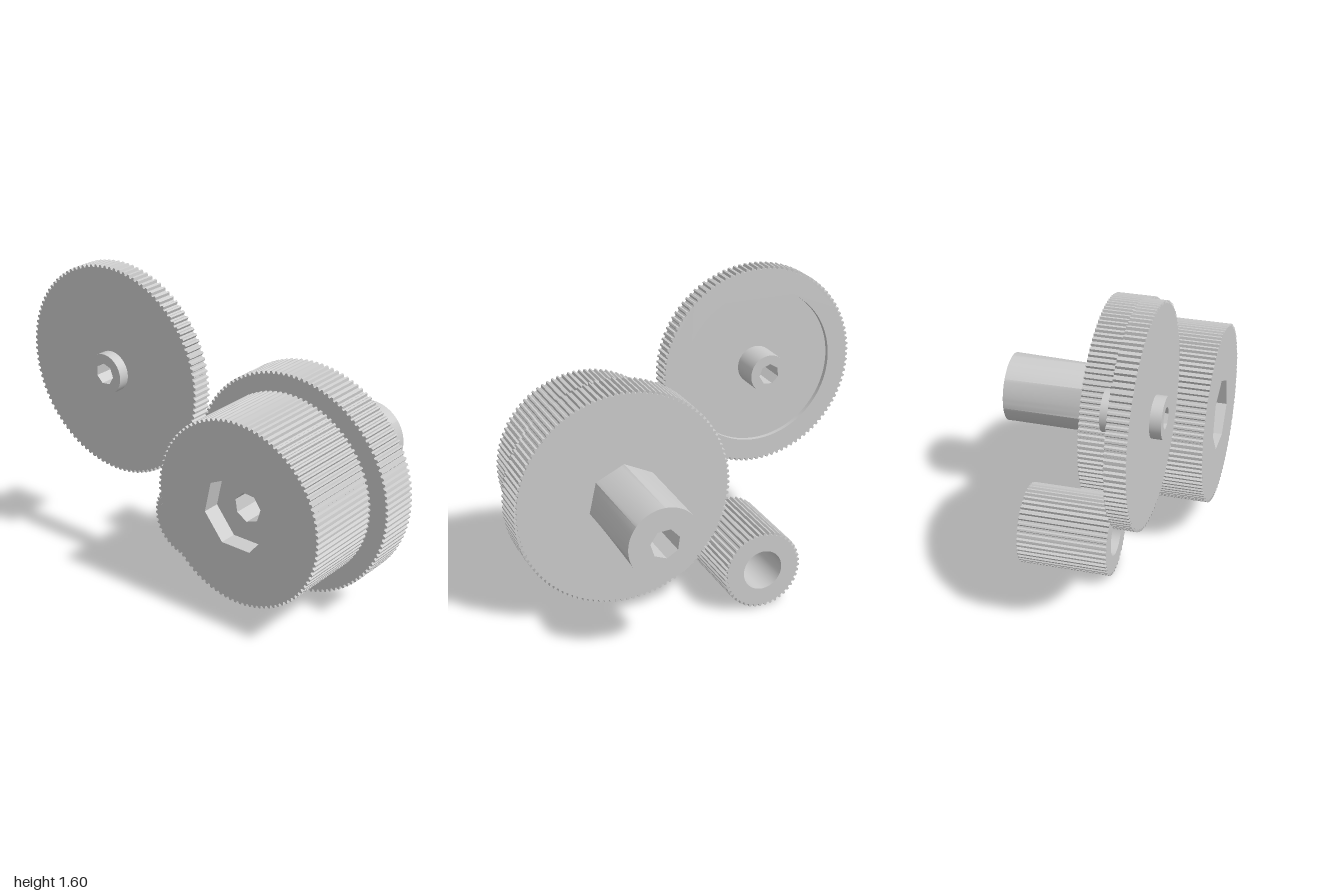
import * as THREE from 'three';
import { toCreasedNormals } from 'three/addons/utils/BufferGeometryUtils.js';

const material = new THREE.MeshStandardMaterial({ color: 0xcccccc });

// Regular outline; points run counter-clockwise from the given angle
function ring(radius, sides, start = Math.PI / 2) {
  return Array.from({ length: sides }, (_, i) => {
    const a = start + (i / sides) * Math.PI * 2;
    return new THREE.Vector2(Math.cos(a) * radius, Math.sin(a) * radius);
  });
}

// Fine spur-tooth outline
function teeth(radius, count, depth = 0.013) {
  const points = [];
  for (let i = 0; i < count; i++) {
    for (const [t, r] of [[0, radius - depth], [0.3, radius - depth], [0.5, radius], [0.8, radius]]) {
      const a = ((i + t) / count) * Math.PI * 2;
      points.push(new THREE.Vector2(Math.cos(a) * r, Math.sin(a) * r));
    }
  }
  return points;
}

// Extrudes an outline with a bore along x, from x0 to x1
function extrude(outline, bore, x0, x1) {
  const shape = new THREE.Shape(outline);
  if (bore) shape.holes.push(new THREE.Path(bore));
  const geometry = new THREE.ExtrudeGeometry(shape, { depth: x1 - x0, bevelEnabled: false, steps: 1 });
  geometry.translate(0, 0, x0);
  return geometry;
}

function addPart(group, name, geometry) {
  geometry.rotateY(Math.PI / 2);
  const mesh = new THREE.Mesh(toCreasedNormals(geometry, 0.45), material);
  mesh.name = name;
  group.add(mesh);
}

function gearGroup(parent, name, y, z) {
  const group = new THREE.Group();
  group.name = name;
  group.position.set(0, y, z);
  parent.add(group);
  return group;
}

export function createModel() {
  const model = new THREE.Group();
  model.name = 'gearTrain';

  // Compound gear: wide drum, larger gear and a shaft seated in a seven-sided bore
  const compound = gearGroup(model, 'compoundGear', 0.625, 0.43);
  const socket = 0.19;
  const shaftBore = ring(0.076, 7, 0.3);
  addPart(compound, 'drumGear', extrude(teeth(0.47, 98), ring(socket, 7), -0.57, -0.16));
  addPart(compound, 'largeGear', extrude(teeth(0.567, 118), ring(socket, 7), -0.16, 0.045));
  addPart(compound, 'shaftKey', extrude(ring(socket, 7), shaftBore, -0.48, 0.045));

  // Shaft outline blends from seven flats at the gear to a circle at the tip
  const shaft = extrude(ring(0.185, 70), shaftBore, 0.045, 0.565);
  const p = shaft.attributes.position;
  const step = (Math.PI * 2) / 7;
  for (let i = 0; i < p.count; i++) {
    const x = p.getX(i), y = p.getY(i);
    if (p.getZ(i) > 0.1 || Math.hypot(x, y) < 0.12) continue;
    const a = Math.atan2(y, x) - Math.PI / 2 + Math.PI * 4;
    const local = (a % step) - step / 2;
    const r = (socket * Math.cos(step / 2)) / Math.cos(local);
    const s = r / Math.hypot(x, y);
    p.setXY(i, x * s, y * s);
  }
  addPart(compound, 'shaft', shaft);

  // Thin idler gear: toothed rim, recessed web, long hub
  const idler = gearGroup(model, 'idlerGear', 1.065, -0.465);
  addPart(idler, 'idlerRim', extrude(teeth(0.535, 110), ring(0.415, 96), -0.42, -0.32));
  addPart(idler, 'idlerWeb', extrude(ring(0.415, 96), ring(0.1, 48), -0.42, -0.345));
  addPart(idler, 'idlerHub', extrude(ring(0.102, 48), ring(0.055, 7, 1.45), -0.475, -0.185));

  // Small pinion with a round bore
  const pinion = gearGroup(model, 'pinion', 0.207, -0.215);
  addPart(pinion, 'pinionBody', extrude(teeth(0.207, 44), ring(0.105, 48), -0.18, 0.283));

  return model;
}
